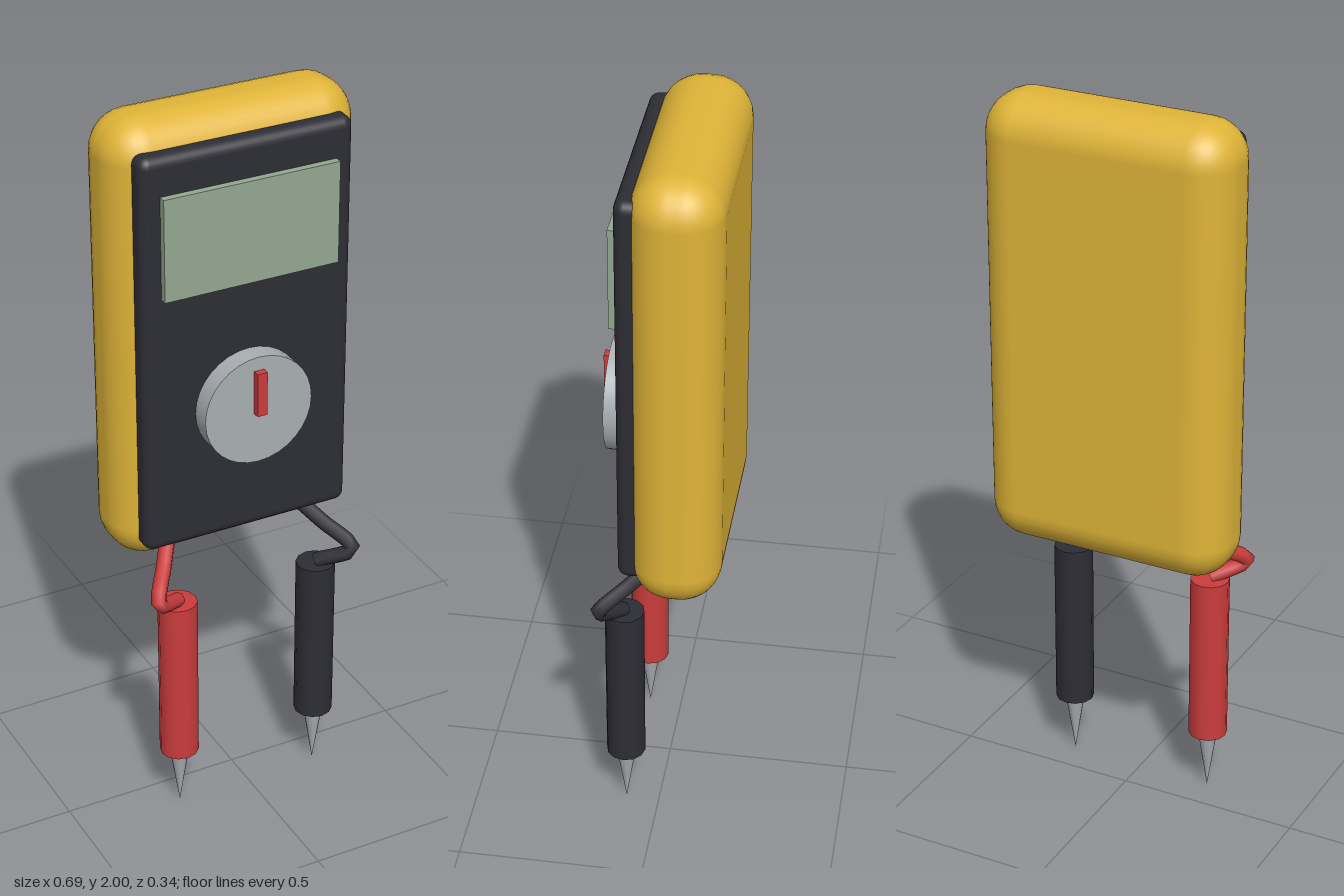
import * as THREE from 'three';
import { RoundedBoxGeometry } from 'three/addons/geometries/RoundedBoxGeometry.js';

const material = (name, color) => {
  const m = new THREE.MeshStandardMaterial({ color });
  m.name = name;
  return m;
};

export function createModel() {
  const yellow = material('yellow casing', 0xdfb438);
  const dark = material('dark plastic', 0x2d2d35);
  const green = material('display green', 0x93a78f);
  const grey = material('grey metal', 0xa9aeb2);
  const red = material('red plastic', 0xcb3c3c);

  const model = new THREE.Group();
  model.name = 'multimeter';

  const add = (parent, name, geometry, mat, x, y, z) => {
    const mesh = new THREE.Mesh(geometry, mat);
    mesh.name = name;
    mesh.position.set(x, y, z);
    parent.add(mesh);
    return mesh;
  };

  // Casing and front panel
  add(model, 'casing', new RoundedBoxGeometry(0.69, 1.235, 0.234, 4, 0.105), yellow, 0, 1.3825, -0.055);
  add(model, 'frontPanel', new RoundedBoxGeometry(0.588, 1.108, 0.08, 3, 0.028), dark, 0, 1.381, 0.055);

  // Display, dial and pointer
  add(model, 'display', new THREE.BoxGeometry(0.486, 0.277, 0.03), green, 0, 1.694, 0.1);
  const dial = add(model, 'dial', new THREE.CylinderGeometry(0.152, 0.152, 0.06, 32), grey, 0, 1.21, 0.12);
  dial.rotation.x = Math.PI / 2;
  add(model, 'dialPointer', new THREE.BoxGeometry(0.028, 0.122, 0.03), red, 0, 1.263, 0.155);

  // Test probes with bent leads, one each side
  for (const [side, name, mat] of [[-1, 'redProbe', red], [1, 'blackProbe', dark]]) {
    const probe = new THREE.Group();
    probe.name = name;
    const x = side * 0.207;
    const path = new THREE.CatmullRomCurve3([
      [0.19, 0.815, 0.005], [0.235, 0.765, 0.07], [0.288, 0.705, 0.147], [0.207, 0.66, 0.092],
    ].map(([px, py, pz]) => new THREE.Vector3(side * px, py, pz)));
    add(probe, 'lead', new THREE.TubeGeometry(path, 14, 0.021, 8), mat, 0, 0, 0);
    add(probe, 'handle', new THREE.CylinderGeometry(0.053, 0.053, 0.48, 12), mat, x, 0.415, 0.09);
    const tip = add(probe, 'tip', new THREE.ConeGeometry(0.027, 0.175, 12), grey, x, 0.0875, 0.09);
    tip.rotation.x = Math.PI;
    model.add(probe);
  }
  return model;
}
